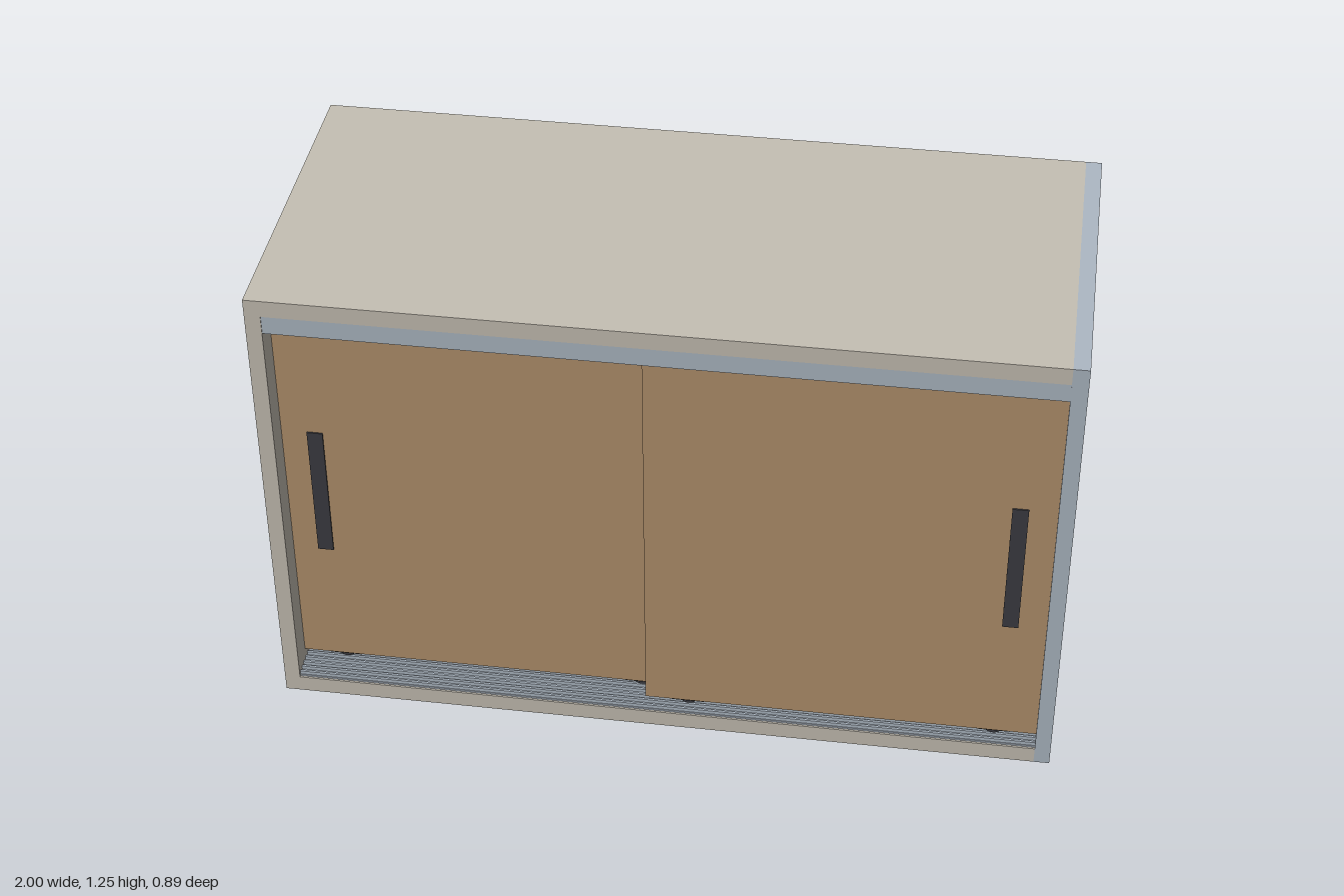
import * as THREE from 'three';

const material = (name, color) => {
  const m = new THREE.MeshStandardMaterial({ color });
  m.name = name;
  return m;
};

export function createModel() {
  const beige = material('beige panel', 0xc6c0b4);
  const blue = material('blue grey metal', 0xaeb9c4);
  const wood = material('warm wood', 0xb3926d);
  const dark = material('dark fittings', 0x3c3c42);

  const model = new THREE.Group();
  model.name = 'slidingDoorCabinet';
  const W = 1, H = 1.25, D = 0.445, T = 0.04;

  // Box given by its lower and upper limits on each axis
  function box(parent, name, mat, x0, x1, y0, y1, z0, z1) {
    const mesh = new THREE.Mesh(new THREE.BoxGeometry(x1 - x0, y1 - y0, z1 - z0), mat);
    mesh.position.set((x0 + x1) / 2, (y0 + y1) / 2, (z0 + z1) / 2);
    mesh.name = name;
    parent.add(mesh);
    return mesh;
  }

  // Carcass
  const inner = W - T, floor = 0.045, ceiling = 1.205;
  box(model, 'leftSidePanel', blue, inner, W, 0, H, -D, D);
  box(model, 'rightSidePanel', beige, -W, -inner, 0, H, -D, D);
  box(model, 'topPanel', beige, -inner, inner, ceiling, H, -D, D);
  box(model, 'bottomPanel', beige, -inner, inner, 0, floor, -D, D);
  box(model, 'backPanel', beige, -inner, inner, floor, ceiling, -D, -D + T);

  // Upper track: a plate with a deep front lip and two guides
  const upper = new THREE.Group();
  upper.name = 'upperTrack';
  model.add(upper);
  box(upper, 'upperTrackPlate', blue, -inner, inner, 1.197, ceiling, 0.325, D - 0.002);
  for (const z of [D - 0.01, 0.382, 0.325])
    box(upper, 'upperTrackLip', blue, -inner, inner, 1.155, 1.197, z, z + 0.008);

  // Lower track: a thin plate with ribs on both sides of each groove
  const lower = new THREE.Group();
  lower.name = 'lowerTrack';
  model.add(lower);
  box(lower, 'lowerTrackPlate', blue, -inner, inner, floor, 0.05, 0.32, D - 0.005);
  for (const z of [0.432, 0.413, 0.396, 0.376, 0.357, 0.34, 0.32])
    box(lower, 'lowerTrackRib', blue, -inner, inner, 0.05, 0.06, z, z + 0.006);

  // Sliding doors, each with a pull plate and two rollers
  function door(name, x0, x1, front, handleX) {
    const group = new THREE.Group();
    group.name = name;
    model.add(group);
    const back = front - 0.04, mid = front - 0.02;
    box(group, 'doorPanel', wood, x0, x1, 0.085, 1.19, back, front);
    box(group, 'handle', dark, handleX - 0.02, handleX + 0.02, 0.44, 0.815, front - 0.002, front + 0.004);
    for (const x of [x0 + 0.11, x1 - 0.11]) {
      box(group, 'rollerBracket', dark, x - 0.042, x + 0.042, 0.079, 0.085, mid - 0.015, mid + 0.015);
      const wheel = new THREE.Mesh(new THREE.CylinderGeometry(0.025, 0.025, 0.012, 24), dark);
      wheel.rotation.x = Math.PI / 2;
      wheel.position.set(x, 0.088, mid);
      wheel.name = 'rollerWheel';
      group.add(wheel);
    }
  }
  door('rearDoor', -inner, 0.045, 0.378, -0.875);
  door('frontDoor', -0.045, inner, 0.432, 0.87);

  return model;
}
